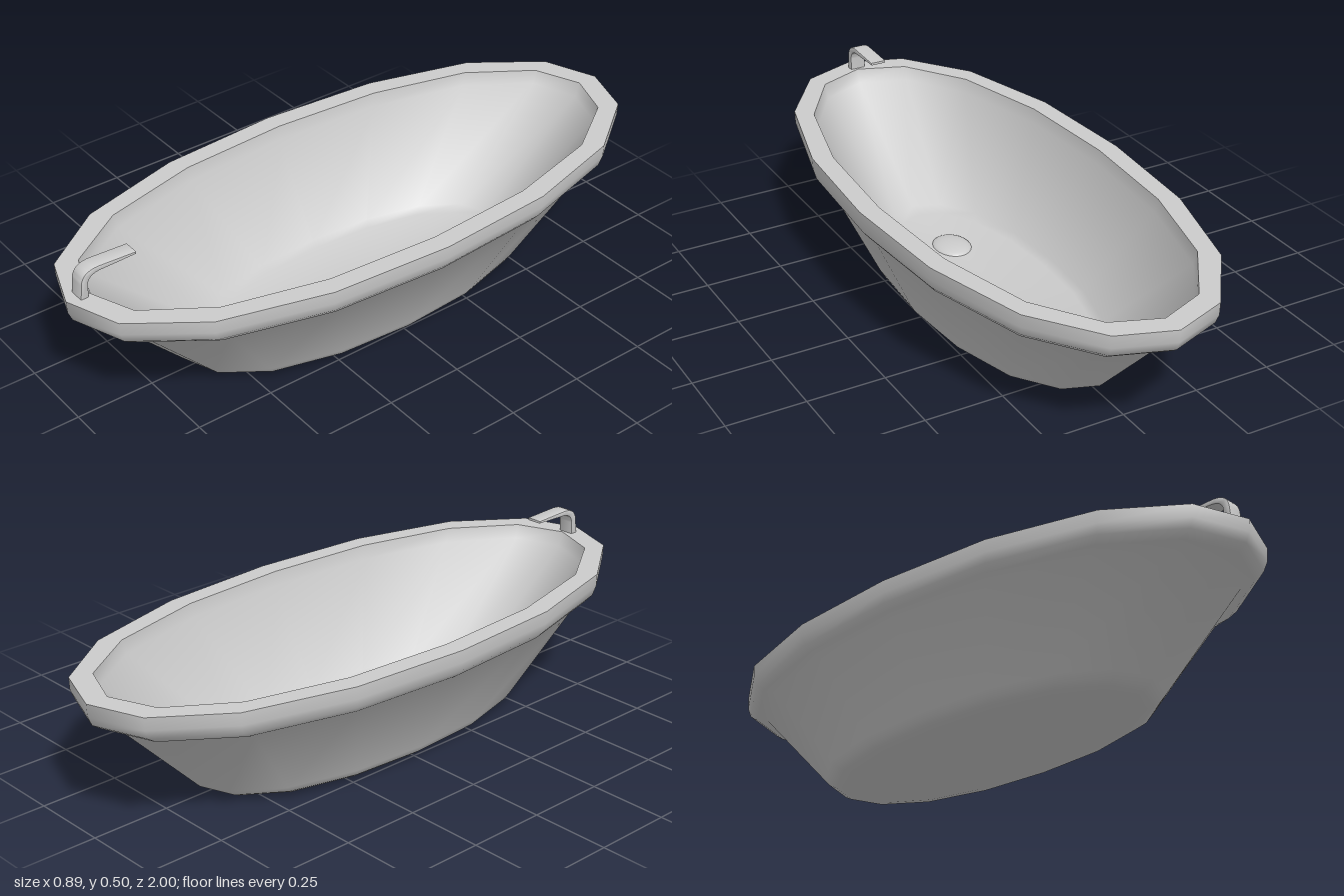
import * as THREE from 'three';
import { toCreasedNormals } from 'three/addons/utils/BufferGeometryUtils.js';

const SIDES = 16;

// Skin of oval rings [halfWidth, halfLength, y], running from the underside, over the rim, to the inner floor
function ovalShell(rings) {
  const pos = [], index = [];
  for (const [rx, rz, y] of rings) {
    for (let i = 0; i < SIDES; i++) {
      const a = (i / SIDES) * Math.PI * 2;
      const bulge = 1 + 0.035 * Math.sin(2 * a) ** 2;
      pos.push(Math.sin(a) * rx * bulge, y, Math.cos(a) * rz * (1 + (bulge - 1) * 0.8));
    }
  }
  for (let r = 0; r < rings.length - 1; r++) {
    for (let i = 0; i < SIDES; i++) {
      const j = (i + 1) % SIDES;
      const a = r * SIDES + i, b = r * SIDES + j;
      index.push(a, b, b + SIDES, a, b + SIDES, a + SIDES);
    }
  }
  const geo = new THREE.BufferGeometry();
  geo.setAttribute('position', new THREE.Float32BufferAttribute(pos, 3));
  geo.setIndex(index);
  return toCreasedNormals(geo, 1.2);
}

export function createModel() {
  const model = new THREE.Group();
  const material = new THREE.MeshStandardMaterial({ color: 0xcccccc });
  const add = (name, geo) => {
    const mesh = new THREE.Mesh(geo, material);
    mesh.name = name;
    model.add(mesh);
    return mesh;
  };

  // Tub: closed bottom, flared wall, rolled rim, sloping inner wall and floor
  add('tub', ovalShell([
    [0.0001, 0.0001, 0], [0.22, 0.55, 0.003], [0.255, 0.6, 0.012], [0.272, 0.625, 0.025], [0.283, 0.645, 0.045],
    [0.4, 0.905, 0.31], [0.42, 0.955, 0.325], [0.436, 0.985, 0.345], [0.444, 0.998, 0.375], [0.445, 1, 0.415],
    [0.382, 0.93, 0.415], [0.375, 0.915, 0.37],
    [0.215, 0.54, 0.07], [0.19, 0.5, 0.055], [0.0001, 0.0001, 0.05],
  ]));

  // Drain: low oval dome on the floor
  const drain = add('drain', new THREE.SphereGeometry(1, 24, 8, 0, Math.PI * 2, 0, Math.PI / 2));
  drain.scale.set(0.06, 0.018, 0.075);
  drain.position.set(0, 0.05, 0.265);

  // Faucet: flat bent spout, drawn in (z, y) and extruded across x
  const s = new THREE.Shape();
  s.moveTo(0.963, 0.405);
  s.lineTo(0.957, 0.46);
  s.quadraticCurveTo(0.953, 0.502, 0.9, 0.502);
  s.lineTo(0.78, 0.497);
  s.lineTo(0.78, 0.492);
  s.lineTo(0.89, 0.489);
  s.quadraticCurveTo(0.937, 0.488, 0.938, 0.455);
  s.lineTo(0.94, 0.405);
  const bevel = 0.003;
  const faucet = new THREE.ExtrudeGeometry(s, {
    depth: 0.052 - 2 * bevel, bevelEnabled: true, bevelThickness: bevel, bevelSize: bevel,
    bevelOffset: -bevel / 2, bevelSegments: 2, curveSegments: 8,
  });
  faucet.rotateY(-Math.PI / 2);
  faucet.translate(0.02 - bevel, 0, 0);
  add('faucet', toCreasedNormals(faucet, 0.7));

  return model;
}
